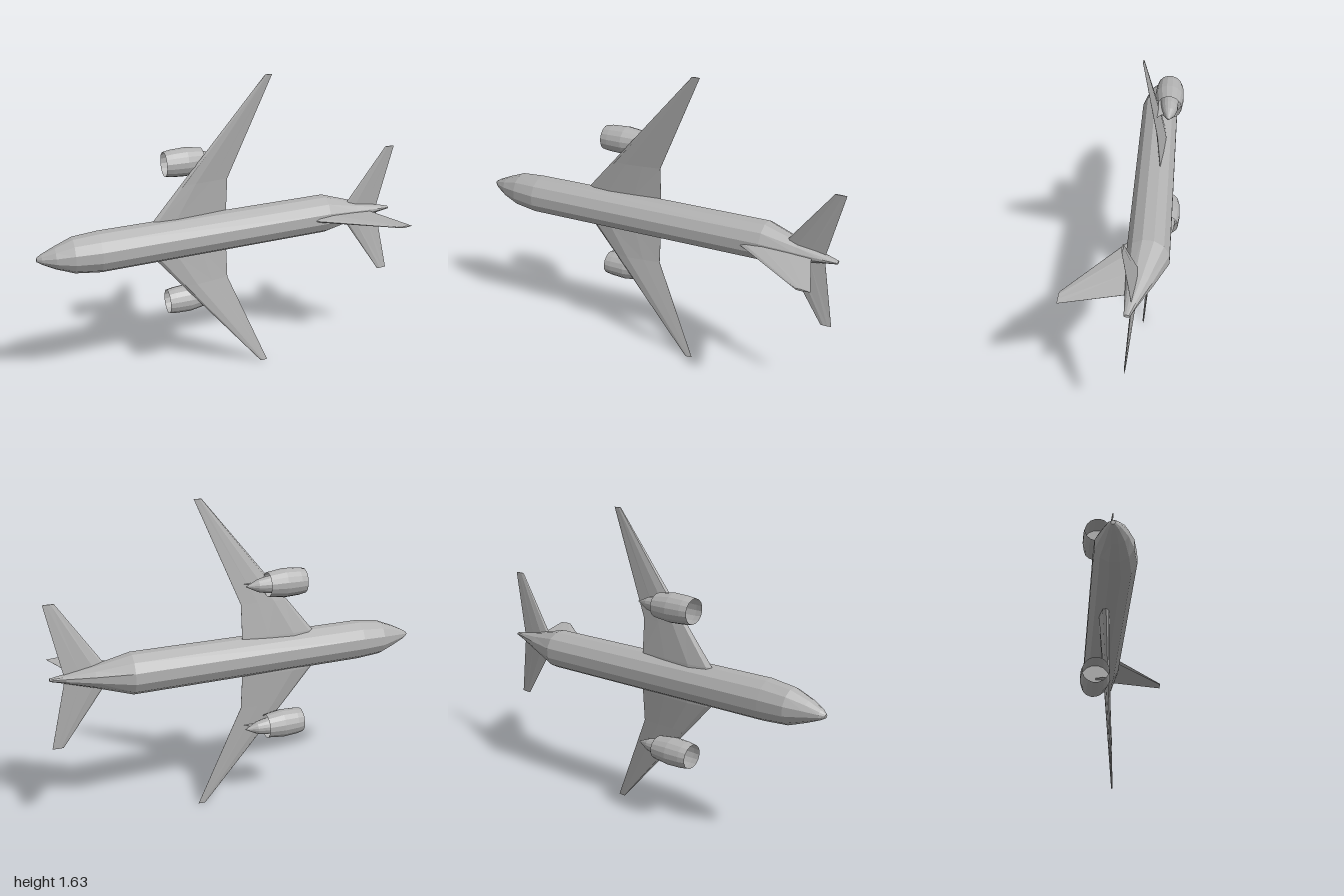
import * as THREE from 'three';

const MID = 0.811; // height of the fuselage axis; nose points to -x, cabin roof to +z

// Skin a list of equal-length closed rings; optionally close both ends.
function loft(rings, capped = true) {
  const n = rings[0].length, tris = [];
  const quad = (a, b, c, d) => tris.push(a, b, c, a, c, d);
  for (let i = 0; i < rings.length - 1; i++) {
    for (let j = 0; j < n; j++) {
      const k = (j + 1) % n;
      quad(rings[i][j], rings[i][k], rings[i + 1][k], rings[i + 1][j]);
    }
  }
  if (capped) {
    const last = rings[rings.length - 1];
    for (let j = 1; j < n - 1; j++) {
      tris.push(rings[0][0], rings[0][j + 1], rings[0][j]);
      tris.push(last[0], last[j], last[j + 1]);
    }
  }
  // Turn the faces outward when the enclosed volume comes out negative.
  const mid = new THREE.Vector3();
  tris.forEach((p) => mid.addScaledVector(p, 1 / tris.length));
  let volume = 0;
  for (let i = 0; i < tris.length; i += 3) {
    const [a, b, c] = [0, 1, 2].map((k) => tris[i + k].clone().sub(mid));
    volume += a.dot(b.cross(c));
  }
  if (volume < 0) tris.reverse();
  const geometry = new THREE.BufferGeometry().setFromPoints(tris);
  geometry.computeVertexNormals();
  return geometry;
}

// Ellipse across the x axis.
function ring(x, y, z, ry, rz, sides) {
  return Array.from({ length: sides }, (_, i) => {
    const a = ((i + 0.5) / sides) * Math.PI * 2;
    return new THREE.Vector3(x, y + Math.cos(a) * ry, z + Math.sin(a) * rz);
  });
}

// Aerofoil outline: chord fraction and share of the half thickness.
const FOIL = [[0, 0], [0.06, 0.6], [0.3, 1], [0.65, 0.6], [1, 0.04],
  [1, -0.04], [0.65, -0.6], [0.3, -1], [0.06, -0.6]];

// Horizontal surface section: offset from the axis, leading and trailing edge, thickness.
function wingSection(side, { d, lead, leadZ, trail, trailZ, thick }) {
  return FOIL.map(([t, h]) => new THREE.Vector3(
    lead + (trail - lead) * t,
    MID + side * d,
    leadZ + (trailZ - leadZ) * t + h * thick / 2,
  ));
}

// Upright surface section, thickness across y.
function finSection([leadX, leadZ, trailX, trailZ, thick], y = MID) {
  return FOIL.map(([t, h]) => new THREE.Vector3(
    leadX + (trailX - leadX) * t,
    y + h * thick / 2,
    leadZ + (trailZ - leadZ) * t,
  ));
}

export function createModel() {
  const model = new THREE.Group();
  model.name = 'airliner';
  const grey = new THREE.MeshStandardMaterial({
    color: 0xb2b2b2, flatShading: true, side: THREE.DoubleSide,
  });
  grey.name = 'light grey';

  const add = (name, geometry, parent = model) => {
    const mesh = new THREE.Mesh(geometry, grey);
    mesh.name = name;
    parent.add(mesh);
  };

  // Fuselage: x, centre z, half width, half height
  const hull = [
    [-1, 0.003, 0.01, 0.01],
    [-0.975, 0.005, 0.026, 0.03],
    [-0.91, 0.008, 0.057, 0.06],
    [-0.82, 0.002, 0.092, 0.09],
    [-0.69, 0, 0.105, 0.104],
    [0.6, -0.127, 0.105, 0.105],
    [0.78, -0.114, 0.055, 0.064],
    [0.92, -0.1, 0.022, 0.03],
    [0.99, -0.095, 0.007, 0.014],
  ];
  add('fuselage', loft(hull.map(([x, z, ry, rz]) => ring(x, MID, z, ry, rz, 12))));

  // Fin, from inside the fuselage to the tip
  add('fin', loft([
    [0.49, -0.03, 0.84, -0.12, 0.036],
    [0.51, -0.016, 0.866, -0.06, 0.034],
    [0.89, 0.226, 0.963, 0.221, 0.01],
  ].map((s) => finSection(s))));

  const wing = [
    { d: 0, lead: -0.42, leadZ: -0.052, trail: 0.015, trailZ: -0.1, thick: 0.055 },
    { d: 0.103, lead: -0.395, leadZ: -0.052, trail: 0.015, trailZ: -0.098, thick: 0.05 },
    { d: 0.28, lead: -0.246, leadZ: -0.052, trail: 0.017, trailZ: -0.083, thick: 0.035 },
    { d: 0.814, lead: 0.205, leadZ: -0.044, trail: 0.245, trailZ: -0.047, thick: 0.008 },
  ];
  const stabiliser = [
    { d: 0, lead: 0.69, leadZ: -0.098, trail: 0.92, trailZ: -0.104, thick: 0.03 },
    { d: 0.04, lead: 0.715, leadZ: -0.095, trail: 0.928, trailZ: -0.101, thick: 0.026 },
    { d: 0.365, lead: 0.942, leadZ: -0.076, trail: 0.998, trailZ: -0.08, thick: 0.008 },
  ];

  for (const side of [1, -1]) {
    const label = side > 0 ? 'upper' : 'lower';
    add(`${label}Wing`, loft(wing.map((s) => wingSection(side, s))));
    add(`${label}Stabiliser`, loft(stabiliser.map((s) => wingSection(side, s))));

    // Engine with open cowl, fan disc, core and tail plug
    const engine = new THREE.Group();
    engine.name = `${label}Engine`;
    model.add(engine);
    const y = MID + side * 0.383;
    const tube = (rows) => rows.map(([x, z, r]) => ring(x, y, z, r, r, 16));
    add('cowl', loft(tube([
      [-0.317, -0.102, 0.064], [-0.28, -0.106, 0.07], [-0.2, -0.113, 0.074],
      [-0.11, -0.124, 0.062],
    ]), false), engine);
    add('fanDisc', loft(tube([[-0.19, -0.114, 0.071], [-0.18, -0.115, 0.07]])), engine);
    add('core', loft(tube([
      [-0.18, -0.116, 0.048], [-0.1, -0.126, 0.042], [-0.055, -0.13, 0.032],
      [0.008, -0.134, 0.002],
    ])), engine);
    add('pylon', loft([
      [-0.22, -0.06, 0.0, -0.075, 0.014],
      [-0.2, -0.11, -0.06, -0.115, 0.014],
    ].map((s) => finSection(s, y))), engine);
  }
  return model;
}
